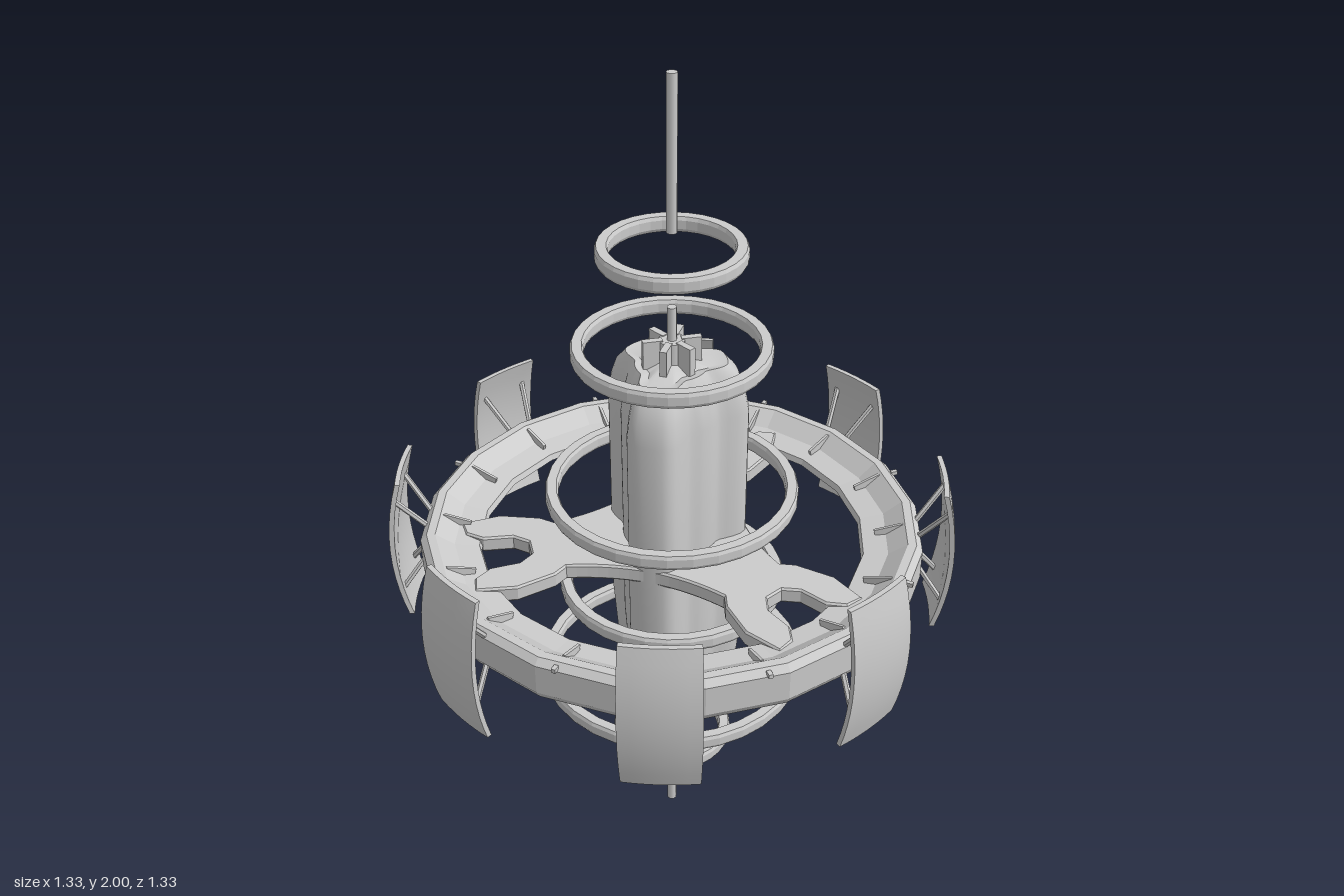
import * as THREE from 'three';
import { toCreasedNormals } from 'three/addons/utils/BufferGeometryUtils.js';

const flat = new THREE.MeshStandardMaterial({ color: 0xcccccc, flatShading: true });
const smooth = new THREE.MeshStandardMaterial({ color: 0xcccccc });
const V2 = (x, y) => new THREE.Vector2(x, y);

export function createModel() {
  const root = new THREE.Group();

  const add = (name, geometry, material = flat, parent = root) => {
    const mesh = new THREE.Mesh(geometry, material);
    mesh.name = name;
    parent.add(mesh);
    return mesh;
  };
  // Spin a closed (radius, height) section, listed outer side upward first
  const spin = (pairs, sides) => {
    const pts = pairs.map(([r, y]) => V2(r, y));
    return new THREE.LatheGeometry([...pts, pts[0].clone()], sides);
  };
  const rod = (name, r, y0, y1, sides = 10) => {
    add(name, new THREE.CylinderGeometry(r, r, y1 - y0, sides), smooth).position.y = (y0 + y1) / 2;
  };
  // Straight bar between two points
  const bar = (name, a, b, r, parent) => {
    const dir = b.clone().sub(a);
    const mesh = add(name, new THREE.CylinderGeometry(r, r, dir.length(), 6), flat, parent);
    mesh.position.copy(a).add(b).multiplyScalar(0.5);
    mesh.quaternion.setFromUnitVectors(new THREE.Vector3(0, 1, 0), dir.normalize());
  };

  // Three-lobed core: a lathe whose radius is pulled in between the lobes
  const profile = [
    [0.001, 0.465], [0.08, 0.465], [0.11, 0.45], [0.15, 0.46], [0.163, 0.53], [0.175, 0.66],
    [0.175, 0.95], [0.175, 1.22], [0.165, 1.27], [0.15, 1.31], [0.125, 1.34], [0.09, 1.335], [0.04, 1.35], [0.001, 1.35],
  ].map(([r, y]) => V2(r, y));
  const core = new THREE.LatheGeometry(profile, 72);
  const pos = core.attributes.position;
  for (let i = 0; i < pos.count; i++) {
    const x = pos.getX(i), z = pos.getZ(i);
    const angle = Math.atan2(z, x) * 180 / Math.PI + 360;
    const offset = Math.abs((angle % 120) - 60); // degrees from nearest lobe
    const k = 1 - 0.34 * THREE.MathUtils.smoothstep(offset, 12, 40);
    pos.setX(i, x * k);
    pos.setZ(i, z * k);
  }
  add('core', toCreasedNormals(core, 0.6), smooth);

  // Crown of radial fins and its spindle
  for (let i = 0; i < 6; i++) {
    const pivot = new THREE.Group();
    pivot.rotation.y = i * Math.PI / 3;
    pivot.name = 'crownFin';
    root.add(pivot);
    add('finPlate', new THREE.BoxGeometry(0.045, 0.075, 0.016), flat, pivot).position.set(0.044, 1.365, 0);
  }
  rod('crownHub', 0.03, 1.33, 1.4, 12);
  rod('spindle', 0.011, 1.34, 1.48);
  rod('bottomNozzle', 0.035, 0.435, 0.48, 12);

  // Antennas
  rod('topAntenna', 0.012, 1.655, 2);
  rod('bottomAntenna', 0.012, 0, 0.35);

  // Floating halo rings: [outer radius, centre height]
  for (const [r, y] of [[0.165, 1.61], [0.225, 1.375], [0.295, 1.005], [0.27, 0.75], [0.325, 0.49], [0.15, 0.258]]) {
    add('haloRing', spin([
      [r - 0.004, y - 0.018], [r, y - 0.01], [r, y + 0.01], [r - 0.004, y + 0.018],
      [r - 0.026, y + 0.018], [r - 0.03, y + 0.01], [r - 0.03, y - 0.01], [r - 0.026, y - 0.018],
    ], 32));
  }

  // Hub plate with three arms, each ending in an open claw
  const half = [[0.27, 0.085], [0.3, 0.11], [0.39, 0.14], [0.48, 0.13], [0.475, 0.09], [0.44, 0.062], [0.37, 0.055], [0.335, 0.025]];
  const claw = [...half.map(([x, y]) => [x, -y]), ...half.slice().reverse()];
  const plate = new THREE.Shape();
  for (let i = 0; i < 3; i++) {
    const a = i * 2 * Math.PI / 3;
    const at = (x, y) => V2(x, y).rotateAround(V2(0, 0), a);
    const valley = at(0.085, -0.147);
    if (i === 0) plate.moveTo(valley.x, valley.y);
    const ctrl = at(0.17, -0.1), neck = at(0.27, -0.085);
    plate.quadraticCurveTo(ctrl.x, ctrl.y, neck.x, neck.y);
    claw.slice(1).forEach(([x, y]) => { const p = at(x, y); plate.lineTo(p.x, p.y); });
    const ctrl2 = at(0.17, 0.1), end = at(0.085, 0.147);
    plate.quadraticCurveTo(ctrl2.x, ctrl2.y, end.x, end.y);
  }
  const arms = new THREE.ExtrudeGeometry(plate, {
    depth: 0.03, bevelEnabled: true, bevelSize: 0.004, bevelThickness: 0.005, bevelSegments: 1, curveSegments: 8,
  });
  arms.rotateX(-Math.PI / 2);
  add('clawArms', arms).position.y = 0.855;

  // Main habitat ring
  add('mainRing', spin([
    [0.55, 0.812], [0.578, 0.812], [0.59, 0.832], [0.59, 0.905], [0.575, 0.92], [0.555, 0.92],
    [0.512, 0.888], [0.455, 0.88], [0.45, 0.865], [0.5, 0.845],
  ], 20));

  // Small blades in the ring channel, with nubs on the rim
  for (let i = 0; i < 16; i++) {
    const pivot = new THREE.Group();
    pivot.name = 'ringBlade';
    pivot.rotation.y = i * Math.PI / 8;
    root.add(pivot);
    const blade = add('blade', new THREE.BoxGeometry(0.07, 0.02, 0.007), flat, pivot);
    blade.position.set(0.513, 0.898, 0);
    blade.rotation.z = 0.3;
    if (i % 2) add('rimNub', new THREE.BoxGeometry(0.016, 0.01, 0.01), flat, pivot).position.set(0.585, 0.912, 0);
  }

  // Eight bowed shield panels on four struts each
  const panel = new THREE.BoxGeometry(0.012, 0.375, 0.272, 1, 10, 6);
  const pp = panel.attributes.position;
  for (let i = 0; i < pp.count; i++) {
    const y = pp.getY(i), v = y / 0.1875, a = pp.getZ(i);
    const r = 0.658 + pp.getX(i) - 0.028 * v * v;
    pp.setXYZ(i, r * Math.cos(a), y + 0.867, r * Math.sin(a));
  }
  const panelGeo = toCreasedNormals(panel, 0.6);
  for (let i = 0; i < 8; i++) {
    const unit = new THREE.Group();
    unit.name = 'shieldUnit';
    unit.rotation.y = i * Math.PI / 4;
    root.add(unit);
    add('shieldPanel', panelGeo, smooth, unit);
    for (const sy of [-1, 1]) for (const sz of [-1, 1]) {
      bar('strut', new THREE.Vector3(0.575, 0.867 + sy * 0.035, sz * 0.03),
        new THREE.Vector3(0.642, 0.867 + sy * 0.125, sz * 0.06), 0.007, unit);
    }
  }
  return root;
}
